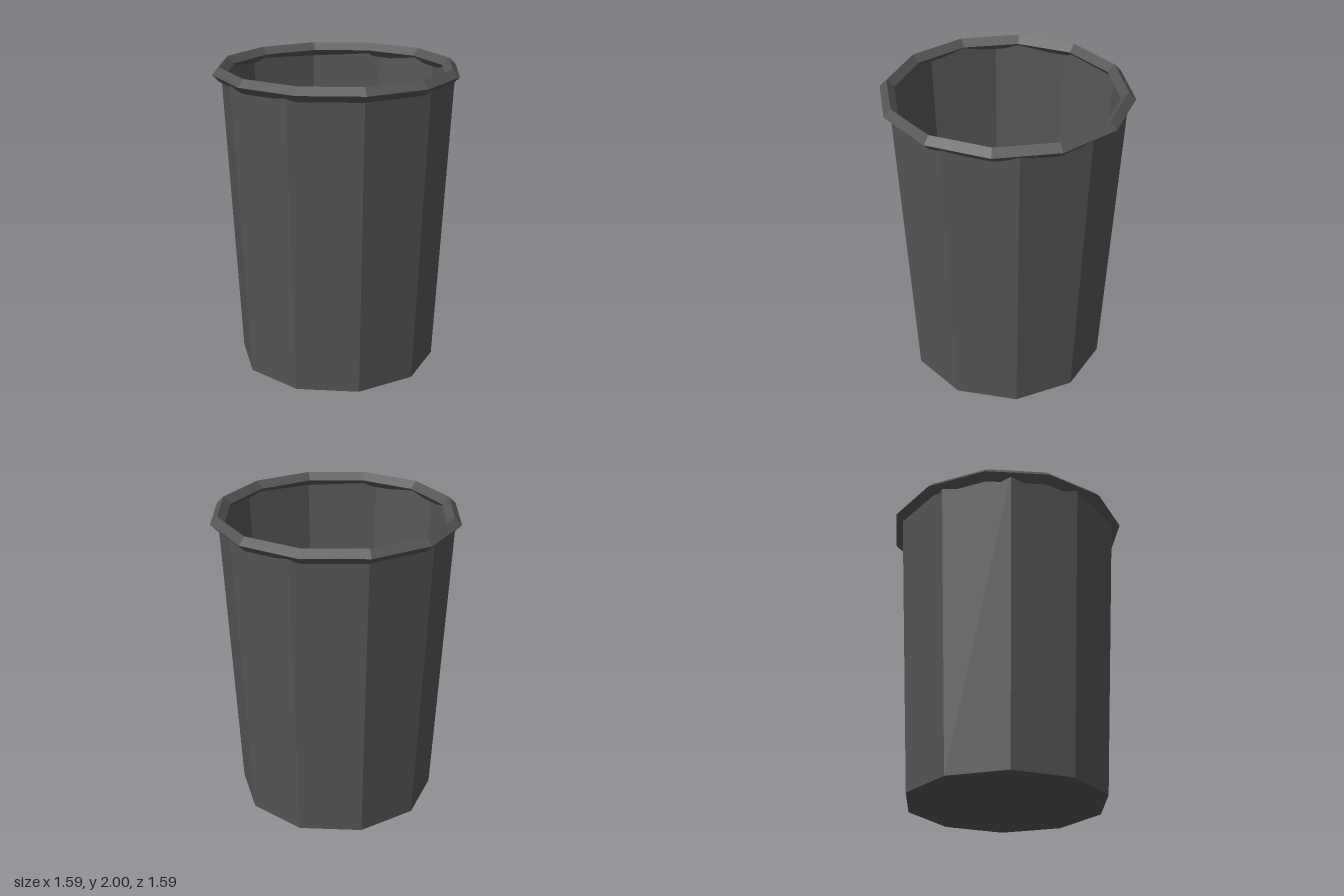
import * as THREE from 'three';

export function createModel() {
  const group = new THREE.Group();
  const material = new THREE.MeshStandardMaterial({
    color: 0x555555, flatShading: true, side: THREE.DoubleSide,
  });
  const sides = 10, height = 1.954, bottomRadius = 0.65, topRadius = 0.75;

  const add = (name, geometry) => {
    const mesh = new THREE.Mesh(geometry, material);
    mesh.name = name;
    group.add(mesh);
    return mesh;
  };

  // Thin tapered wall, open at the top
  const wall = add('wall', new THREE.CylinderGeometry(topRadius, bottomRadius, height, sides, 1, true));
  wall.position.y = height / 2;

  // Floor disc, with a corner pointing to the front like the wall
  const floor = add('floor', new THREE.CircleGeometry(bottomRadius, sides, Math.PI / 2));
  floor.rotation.x = Math.PI / 2;

  // Diamond-section rim around the opening
  const rim = add('rim', new THREE.TorusGeometry(0.748, 0.046, 4, 12));
  rim.rotation.x = Math.PI / 2;
  rim.position.y = height;

  return group;
}
